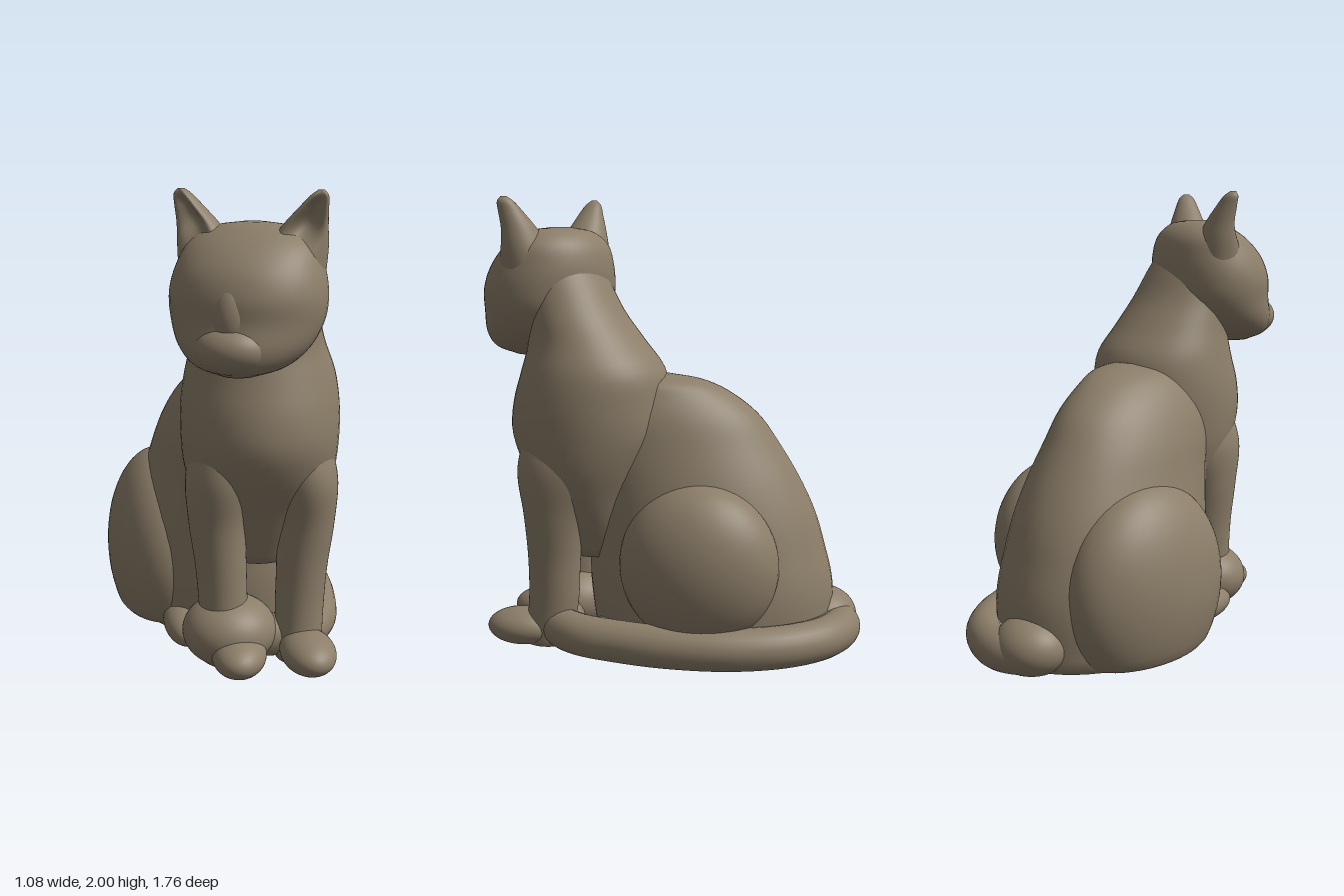
import * as THREE from 'three';
import { mergeVertices } from 'three/addons/utils/BufferGeometryUtils.js';

const clay = new THREE.MeshStandardMaterial({ color: 0x8c7e69 });
clay.name = 'taupe clay';

function add(parent, name, geometry) {
  const mesh = new THREE.Mesh(geometry, clay);
  mesh.name = name;
  parent.add(mesh);
  return mesh;
}

// Weld seams, press everything below the ground flat, and smooth the normals
function settle(geometry) {
  geometry.deleteAttribute('uv');
  geometry.deleteAttribute('normal');
  const welded = mergeVertices(geometry, 1e-4);
  const p = welded.attributes.position;
  for (let i = 0; i < p.count; i++) p.setY(i, Math.max(0, p.getY(i)));
  welded.computeVertexNormals();
  return welded;
}

function ball([x, y, z], [rx, ry, rz], yaw = 0) {
  const g = new THREE.SphereGeometry(1, 48, 32);
  g.scale(rx, ry, rz).rotateY(yaw).translate(x, y, z);
  return settle(g);
}

// Smooth stack of horizontal oval rings, listed upwards: [x, y, z, rx, rz, dent]
// dent hollows the +z side of a ring
function loft(sections, yaw = 0, rows = 40, sides = 48) {
  const curve = (pick) => new THREE.CatmullRomCurve3(
    sections.map((s) => new THREE.Vector3(...pick(s))), false, 'catmullrom', 0.5);
  const centres = curve((s) => [s[0], s[1], s[2]]);
  const sizes = curve((s) => [s[3], s[4], s[5] || 0]);
  const pos = [], index = [];
  for (let i = 0; i <= rows; i++) {
    const c = centres.getPoint(i / rows), r = sizes.getPoint(i / rows);
    for (let j = 0; j < sides; j++) {
      const a = (j / sides) * Math.PI * 2;
      const u = r.x * Math.cos(a);
      const v = r.y * Math.sin(a) - r.z * Math.max(0, Math.sin(a)) ** 4;
      pos.push(c.x + u * Math.cos(yaw) + v * Math.sin(yaw), c.y,
        c.z - u * Math.sin(yaw) + v * Math.cos(yaw));
    }
  }
  for (let i = 0; i < rows; i++) {
    for (let j = 0; j < sides; j++) {
      const k = (j + 1) % sides, a = i * sides, b = a + sides;
      index.push(a + j, b + j, a + k, a + k, b + j, b + k);
    }
  }
  // end caps
  const low = pos.length / 3, top = low + 1, last = rows * sides;
  for (const t of [0, 1]) pos.push(...centres.getPoint(t).toArray());
  for (let j = 0; j < sides; j++) {
    const k = (j + 1) % sides;
    index.push(low, j, k, top, last + k, last + j);
  }
  const g = new THREE.BufferGeometry();
  g.setAttribute('position', new THREE.Float32BufferAttribute(pos, 3));
  g.setIndex(index);
  g.computeVertexNormals();
  return g;
}

function makeHead() {
  const head = new THREE.Group();
  head.name = 'head';
  head.position.set(0.07, 0, 0.55);
  head.rotation.y = -0.4; // looks a little to its right
  add(head, 'skull', loft([
    [0, 1.29, 0.12, 0.08, 0.09],
    [0, 1.33, 0.1, 0.19, 0.19],
    [0, 1.4, 0.06, 0.265, 0.25],
    [0, 1.5, 0.02, 0.31, 0.27],
    [0, 1.6, 0.01, 0.32, 0.275],
    [0, 1.7, -0.01, 0.3, 0.255],
    [0, 1.79, -0.04, 0.26, 0.2],
    [0, 1.85, -0.06, 0.17, 0.12],
    [0, 1.87, -0.06, 0.05, 0.04],
  ]));
  add(head, 'muzzle', ball([0, 1.405, 0.22], [0.15, 0.1, 0.125]));
  add(head, 'noseBridge', ball([0, 1.52, 0.2], [0.09, 0.16, 0.105]));
  for (const side of [-1, 1]) {
    add(head, side < 0 ? 'rightEar' : 'leftEar', loft([
      [side * 0.16, 1.66, -0.02, 0.14, 0.13, 0],
      [side * 0.185, 1.77, -0.02, 0.125, 0.11, 0.03],
      [side * 0.22, 1.86, -0.015, 0.09, 0.085, 0.08],
      [side * 0.255, 1.93, -0.005, 0.058, 0.062, 0.06],
      [side * 0.278, 1.975, 0, 0.036, 0.042, 0.025],
      [side * 0.285, 1.998, 0, 0.012, 0.014, 0],
    ], side * 0.3, 28, 40));
  }
  return head;
}

export function createModel() {
  const cat = new THREE.Group();
  cat.name = 'sittingCat';

  // Rump and back
  add(cat, 'rump', loft([
    [-0.01, 0, -0.2, 0.41, 0.54],
    [-0.01, 0.25, -0.19, 0.42, 0.56],
    [-0.01, 0.45, -0.165, 0.4, 0.54],
    [0, 0.6, -0.13, 0.37, 0.53],
    [0.01, 0.75, -0.08, 0.335, 0.51],
    [0.02, 0.9, -0.01, 0.3, 0.49],
    [0.04, 1.03, 0.05, 0.26, 0.46],
    [0.06, 1.13, 0.09, 0.21, 0.38],
    [0.08, 1.19, 0.1, 0.16, 0.27],
    [0.09, 1.22, 0.1, 0.07, 0.12],
  ], 0.19));

  // Chest, shoulders and neck
  add(cat, 'chestAndNeck', loft([
    [0.14, 0.4, 0.32, 0.14, 0.12],
    [0.14, 0.55, 0.32, 0.22, 0.19],
    [0.14, 0.68, 0.33, 0.28, 0.24],
    [0.14, 0.82, 0.34, 0.325, 0.31],
    [0.14, 0.96, 0.34, 0.34, 0.36],
    [0.14, 1.1, 0.335, 0.34, 0.355],
    [0.14, 1.24, 0.325, 0.32, 0.325],
    [0.13, 1.37, 0.36, 0.28, 0.26],
    [0.12, 1.5, 0.42, 0.25, 0.22],
    [0.1, 1.65, 0.47, 0.22, 0.185],
    [0.08, 1.78, 0.5, 0.17, 0.13],
    [0.07, 1.84, 0.5, 0.08, 0.07],
  ]));

  cat.add(makeHead());

  // Front legs and paws, mirrored about the chest
  for (const side of [-1, 1]) {
    const label = side < 0 ? 'right' : 'left';
    const rings = [
      [0.16, 0, 0.5, 0.1, 0.11],
      [0.165, 0.2, 0.47, 0.105, 0.115],
      [0.175, 0.4, 0.46, 0.11, 0.12],
      [0.19, 0.6, 0.45, 0.123, 0.14],
      [0.18, 0.8, 0.43, 0.145, 0.19],
      [0.15, 0.98, 0.4, 0.13, 0.19],
    ];
    add(cat, label + 'FrontLeg', loft(rings.map(([d, ...rest]) => [0.14 + side * d, ...rest])));
    add(cat, label + 'FrontPaw',
      ball([side < 0 ? 0.03 : 0.325, 0.065, 0.61], [0.118, 0.085, 0.17], side * 0.1));
  }

  // Haunches and hind paws
  add(cat, 'rightHaunch', ball([-0.28, 0.28, -0.19], [0.26, 0.47, 0.44], 0.1));
  add(cat, 'leftHaunch', ball([0.3, 0.41, -0.21], [0.235, 0.36, 0.35], 0.12));
  add(cat, 'rightHindPaw', ball([-0.19, 0.055, 0.26], [0.09, 0.075, 0.2], 0.1));
  add(cat, 'leftHindPaw', ball([0.3, 0.055, 0.18], [0.11, 0.075, 0.22]));

  // Tail sweeping round the left side to the front paws
  const path = new THREE.CatmullRomCurve3([
    [-0.1, -0.5], [-0.18, -0.68], [-0.05, -0.785], [0.13, -0.745], [0.29, -0.6], [0.4, -0.38],
    [0.445, -0.12], [0.44, 0.1], [0.4, 0.32], [0.31, 0.44], [0.12, 0.47],
  ].map(([x, z]) => new THREE.Vector3(x, 0.08, z)));
  add(cat, 'tail', settle(new THREE.TubeGeometry(path, 100, 0.092, 24)));
  add(cat, 'tailBase', ball([-0.12, 0.1, -0.69], [0.17, 0.13, 0.16]));
  add(cat, 'tailTip', ball([0, 0.12, 0.48], [0.205, 0.155, 0.195]));

  return cat;
}
